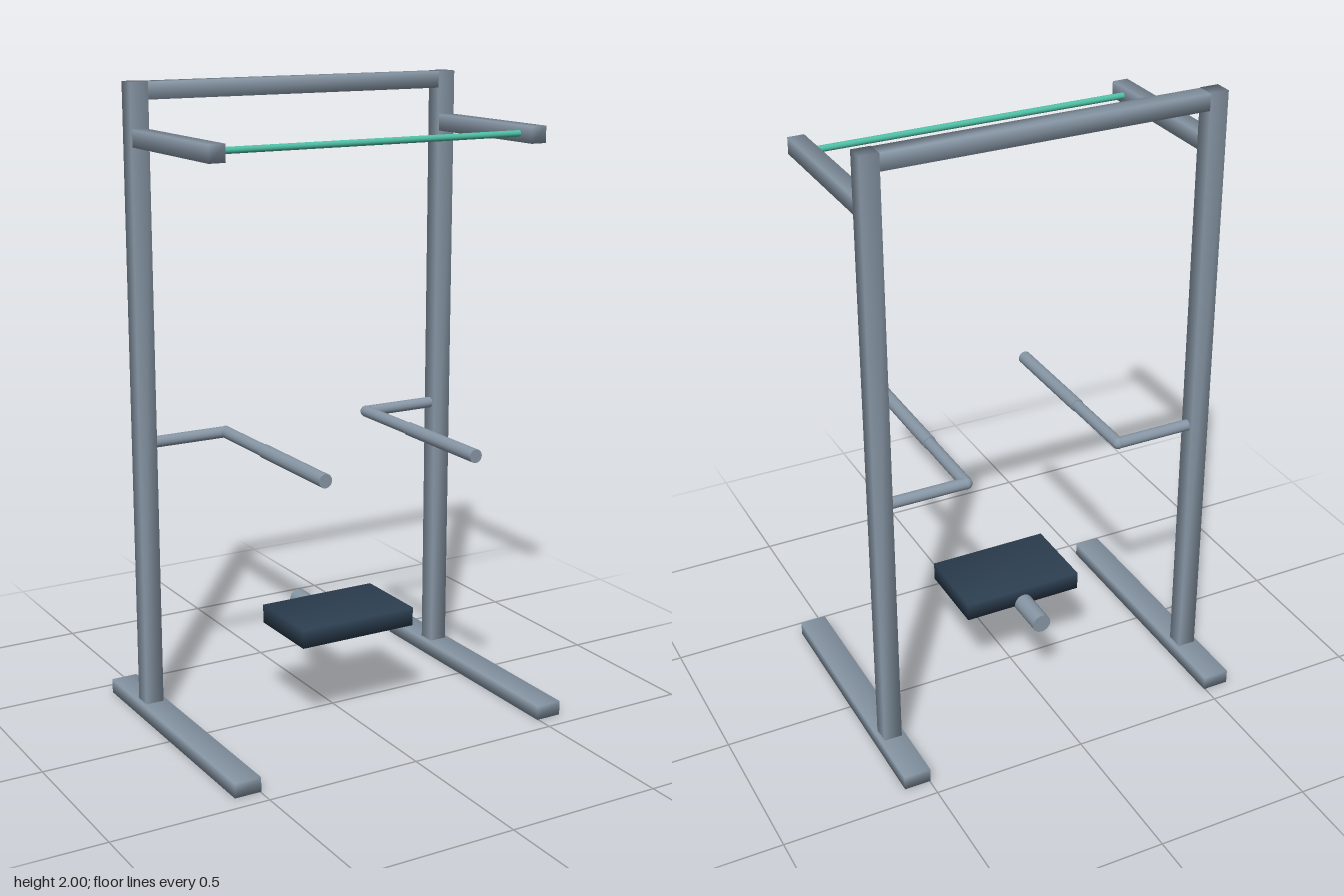
import * as THREE from 'three';
import { mergeVertices } from 'three/addons/utils/BufferGeometryUtils.js';

const steel = new THREE.MeshStandardMaterial({ color: 0x8796a5 });
const padDark = new THREE.MeshStandardMaterial({ color: 0x2c3e50 });
const teal = new THREE.MeshStandardMaterial({ color: 0x4fbfa5 });

export function createModel() {
  const model = new THREE.Group();
  model.name = 'exerciseTower';

  const add = (name, geometry, material) => {
    const mesh = new THREE.Mesh(geometry, material);
    mesh.name = name;
    model.add(mesh);
    return mesh;
  };

  // Box between two corners, with normals shared across its edges
  const box = (name, [x0, y0, z0], [x1, y1, z1], material = steel) => {
    let geo = new THREE.BoxGeometry(x1 - x0, y1 - y0, z1 - z0);
    geo.deleteAttribute('normal');
    geo.deleteAttribute('uv');
    geo = mergeVertices(geo);
    geo.computeVertexNormals();
    add(name, geo, material).position.set((x0 + x1) / 2, (y0 + y1) / 2, (z0 + z1) / 2);
  };

  // Round bar between two points
  const rod = (name, from, to, radius, material = steel) => {
    const a = new THREE.Vector3(...from);
    const b = new THREE.Vector3(...to);
    const dir = b.clone().sub(a);
    const mesh = add(name, new THREE.CylinderGeometry(radius, radius, dir.length(), 20), material);
    mesh.position.copy(a).add(b).multiplyScalar(0.5);
    mesh.quaternion.setFromUnitVectors(new THREE.Vector3(0, 1, 0), dir.normalize());
  };

  for (const [side, s] of [['left', 1], ['right', -1]]) {
    // Mirrored box, given by its inner and outer x
    const sideBox = (name, xi, xo, y0, y1, z0, z1) =>
      box(side + name, [Math.min(s * xi, s * xo), y0, z0], [Math.max(s * xi, s * xo), y1, z1]);

    sideBox('Foot', 0.497, 0.583, 0, 0.046, -0.442, 0.442);
    sideBox('Upright', 0.511, 0.57, 0.046, 2, -0.256, -0.198);
    sideBox('PullUpArm', 0.514, 0.566, 1.81, 1.862, -0.21, 0.306);

    // Dip handle: crosspiece, elbow, forward bar and thicker grip
    const y = 0.897, x = s * 0.261, z = -0.227;
    rod(side + 'DipCrosspiece', [s * 0.53, y, z], [x, y, z], 0.018);
    add(side + 'DipElbow', new THREE.SphereGeometry(0.019, 20, 12), steel).position.set(x, y, z);
    rod(side + 'DipBar', [x, y, z], [x, y, 0.05], 0.019);
    rod(side + 'DipGrip', [x, y, 0.035], [x, y, 0.409], 0.0215);
  }

  // Top crossbar and pull-up bar
  box('topCrossbar', [-0.515, 1.947, -0.255], [0.515, 1.999, -0.199]);
  rod('pullUpBar', [-0.52, 1.836, 0.24], [0.52, 1.836, 0.24], 0.01, teal);

  // Seat pad on its support tube
  box('seatPad', [-0.2, 0.286, -0.098], [0.2, 0.346, 0.164], padDark);
  rod('seatSupport', [0, 0.291, -0.227], [0, 0.291, 0.035], 0.031);

  return model;
}
